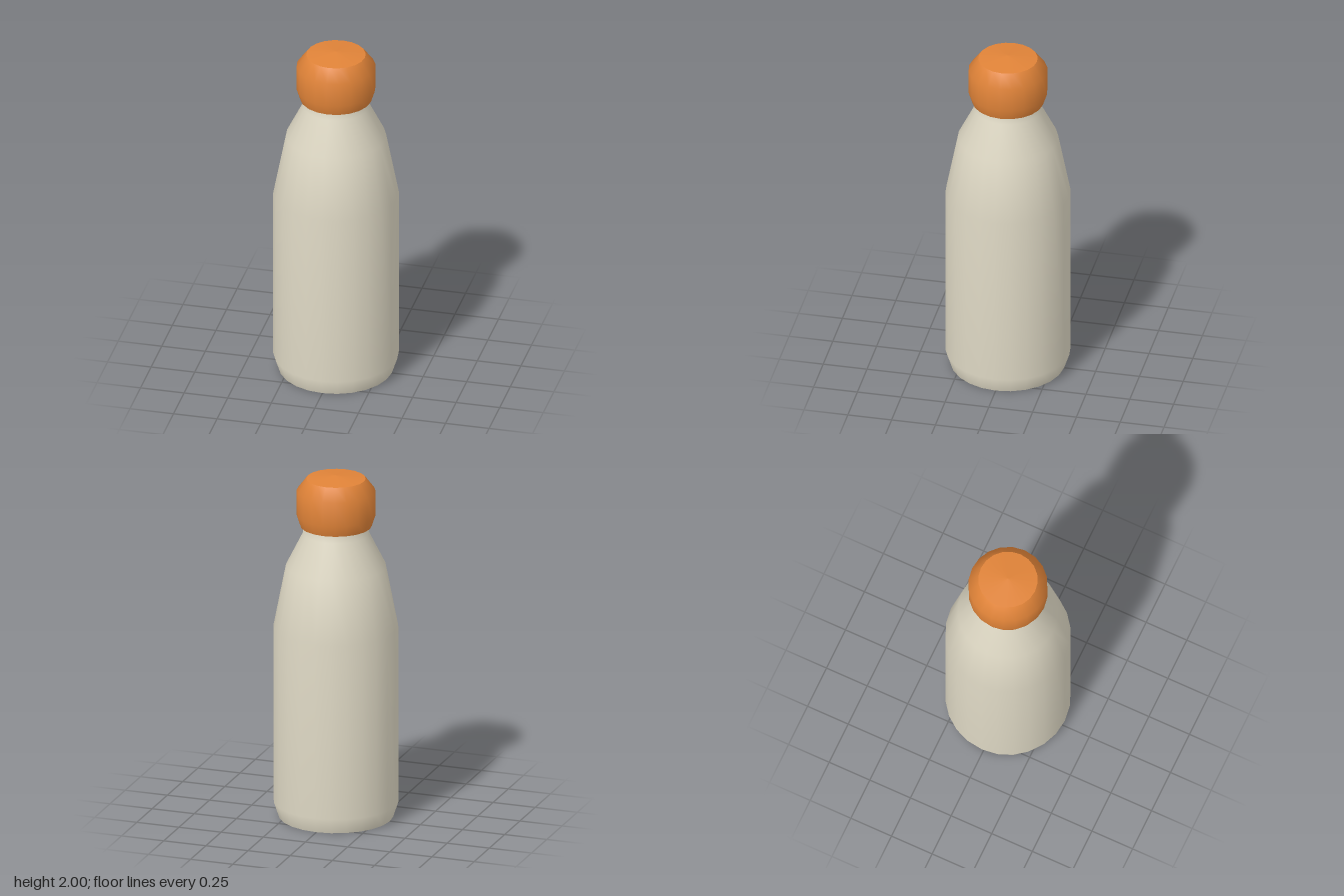
import * as THREE from 'three';

const cream = new THREE.MeshStandardMaterial({ color: 0xded8c4 });
cream.name = 'cream';
const orange = new THREE.MeshStandardMaterial({ color: 0xe08338 });
orange.name = 'orange';

// Turned surface from [radius, height] points, bottom to top on the outside
function turned(name, points, sides, material) {
  const profile = points.map(([r, y]) => new THREE.Vector2(r, y));
  const mesh = new THREE.Mesh(new THREE.LatheGeometry(profile, sides), material);
  mesh.name = name;
  return mesh;
}

export function createModel() {
  const model = new THREE.Group();
  model.name = 'bottle';

  // Body: chamfered foot, straight wall, tapering shoulder and neck
  const body = new THREE.Group();
  body.name = 'body';
  body.add(
    turned('bodyWall', [[0.32, 0], [0.35, 0.09], [0.35, 1.11], [0.28, 1.47], [0.185, 1.66], [0.185, 1.75]], 24, cream),
    turned('base', [[0, 0], [0.32, 0]], 24, cream)
  );

  // Cap: rounded sides, closed underside and a slightly domed top
  const cap = new THREE.Group();
  cap.name = 'cap';
  cap.add(
    turned('capWall', [[0.2, 1.705], [0.221, 1.77], [0.221, 1.91], [0.166, 1.982]], 20, orange),
    turned('capTop', [[0.166, 1.982], [0, 2]], 20, orange),
    turned('capUnderside', [[0, 1.705], [0.2, 1.705]], 20, orange)
  );

  model.add(body, cap);
  return model;
}
